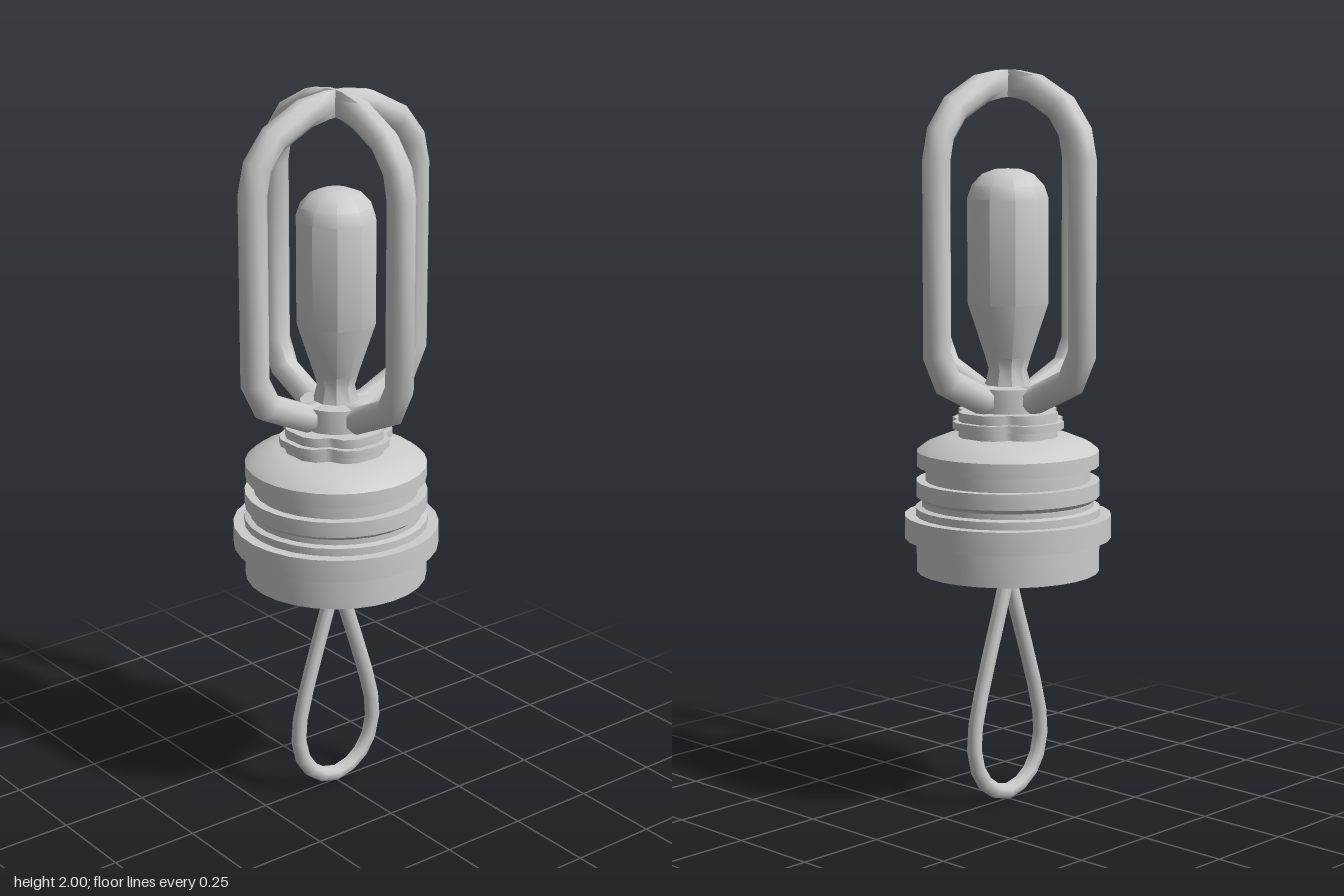
import * as THREE from 'three';
import { toCreasedNormals } from 'three/addons/utils/BufferGeometryUtils.js';

const material = new THREE.MeshStandardMaterial({ color: 0xcccccc });

function addMesh(parent, name, geometry, crease = 0.6) {
  const mesh = new THREE.Mesh(toCreasedNormals(geometry, crease), material);
  mesh.name = name;
  parent.add(mesh);
  return mesh;
}

// Turned part from [radius, height] pairs, bottom to top
function turned(profile, sides) {
  return new THREE.LatheGeometry(profile.map(([r, y]) => new THREE.Vector2(r, y)), sides);
}

// Mitred rod swept along a path in the XY plane; depthAt scales its z thickness
function rod(path, radius, sides, depthAt = () => 1) {
  const pts = path.map(([x, y]) => new THREE.Vector2(x, y));
  const positions = [], index = [];
  pts.forEach((p, i) => {
    const before = p.clone().sub(pts[Math.max(i - 1, 0)]).normalize();
    const after = pts[Math.min(i + 1, pts.length - 1)].clone().sub(p).normalize();
    const t = before.clone().add(after).normalize();
    const mitre = 1 / t.dot(i === 0 ? after : before);
    for (let j = 0; j < sides; j++) {
      const a = (j + 0.5) / sides * Math.PI * 2;
      const n = radius * mitre * Math.cos(a);
      positions.push(p.x - t.y * n, p.y + t.x * n, radius * Math.sin(a) * depthAt(p));
      if (i < pts.length - 1) {
        const k = i * sides + j, k2 = i * sides + (j + 1) % sides;
        index.push(k, k2, k + sides, k2, k2 + sides, k + sides);
      }
    }
  });
  const geometry = new THREE.BufferGeometry();
  geometry.setAttribute('position', new THREE.Float32BufferAttribute(positions, 3));
  geometry.setIndex(index);
  return geometry;
}

// Completes a path whose right half ends on the centre line
function mirrored(half) {
  return [...half, ...half.slice(0, -1).reverse().map(([x, y]) => [-x, y])];
}

// Four-lobed plate lying flat, its lobes reaching out to the given size
function lobedPlate(size, height) {
  const quarter = [[1, 0.25], [0.87, 0.48], [0.69, 0.58], [0.62, 0.62],
    [0.58, 0.69], [0.48, 0.87], [0.25, 1]];
  const outline = [];
  for (let q = 0; q < 4; q++) {
    for (const [x, y] of quarter) {
      outline.push(new THREE.Vector2(x * size, y * size)
        .rotateAround(new THREE.Vector2(), q * Math.PI / 2));
    }
  }
  const geometry = new THREE.ExtrudeGeometry(new THREE.Shape(outline),
    { depth: height, bevelEnabled: false });
  return geometry.rotateX(-Math.PI / 2);
}

export function createModel() {
  const model = new THREE.Group();
  model.name = 'lantern';

  // Stepped round base with grooves and a wide flange
  addMesh(model, 'base', turned([
    [0, 0.635], [0.12, 0.638], [0.25, 0.65], [0.25, 0.742], [0.282, 0.742],
    [0.282, 0.805], [0.252, 0.805], [0.252, 0.826], [0.235, 0.83], [0.235, 0.845],
    [0.25, 0.857], [0.25, 0.9], [0.225, 0.9], [0.225, 0.94], [0.248, 0.94],
    [0.248, 0.98], [0.225, 0.998], [0.165, 1.022], [0, 1.025],
  ], 28), 0.45);

  // Lobed neck in three layers
  const neck = new THREE.Group();
  neck.name = 'neck';
  model.add(neck);
  for (const [size, y, height] of [[0.14, 1.015, 0.03], [0.157, 1.045, 0.02], [0.14, 1.065, 0.025]]) {
    addMesh(neck, 'neckLayer', lobedPlate(size, height)).position.y = y;
  }

  // Collar that holds the bars
  addMesh(model, 'collar', turned([
    [0, 1.08], [0.098, 1.08], [0.098, 1.155], [0.06, 1.16], [0, 1.16],
  ], 16));

  // Bulb
  addMesh(model, 'bulb', turned([
    [0, 1.15], [0.065, 1.15], [0.052, 1.2], [0.062, 1.235], [0.11, 1.38],
    [0.11, 1.66], [0.098, 1.695], [0.07, 1.725], [0.035, 1.738], [0, 1.74],
  ], 10));

  // Cage: two crossing hoops, narrowing where they meet at the top
  const cagePath = mirrored([
    [0.04, 1.123], [0.1, 1.125], [0.23, 1.185], [0.268, 1.26], [0.268, 1.765],
    [0.252, 1.835], [0.2, 1.9], [0.1, 1.951], [0.03, 1.963], [0, 1.964],
  ]);
  const taper = (p) => (p.y > 1.9 ? Math.min(1, 0.3 + Math.abs(p.x) * 7) : 1);
  for (const turn of [0, Math.PI / 2]) {
    addMesh(model, 'cageHoop', rod(cagePath, 0.039, 8, taper), 0.9).rotation.y = turn;
  }

  // Knob under the base and the hanging loop
  addMesh(model, 'loopKnob', turned([
    [0, 0.6], [0.022, 0.602], [0.028, 0.62], [0.043, 0.638], [0, 0.645],
  ], 12));
  const loopPath = mirrored([
    [0.005, 0.625], [0.035, 0.53], [0.07, 0.425], [0.105, 0.315], [0.127, 0.23],
    [0.132, 0.165], [0.118, 0.105], [0.09, 0.062], [0.05, 0.033], [0, 0.0205],
  ]);
  addMesh(model, 'hangingLoop', rod(loopPath, 0.0215, 8), 0.9);

  return model;
}
